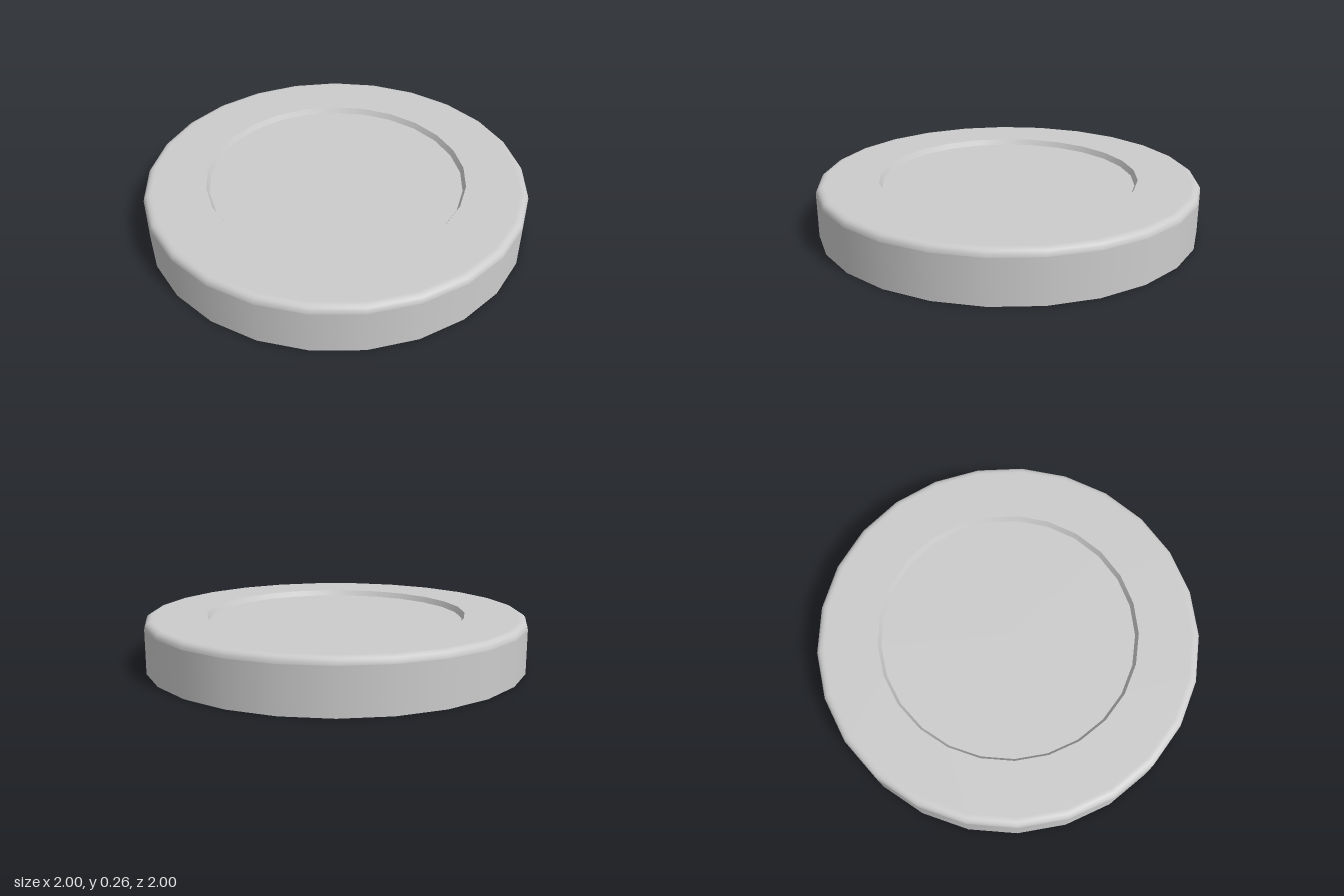
import * as THREE from 'three';

const SIDES = 25;
const RADIUS = 1.004, HEIGHT = 0.264, BEVEL = 0.035;
const RIM = 0.683, FLOOR = 0.668, DEPTH = 0.03;

export function createModel() {
  const group = new THREE.Group();
  group.name = 'roundLid';
  const material = new THREE.MeshStandardMaterial({ color: 0xcccccc, side: THREE.DoubleSide });

  // Turns a [radius, height] profile, with one corner pointing along +x
  const turn = (name, profile) => {
    const points = profile.map(([r, y]) => new THREE.Vector2(r, y));
    const mesh = new THREE.Mesh(new THREE.LatheGeometry(points, SIDES, Math.PI / 2), material);
    mesh.name = name;
    mesh.position.x = 0.004; // an odd number of sides is off centre
    group.add(mesh);
  };

  // Open-bottomed side wall, rounded shoulder and flat top ring
  const shell = [[RADIUS, 0], [RADIUS, HEIGHT - BEVEL - 0.002]];
  for (let i = 0; i <= 4; i++) {
    const a = (i / 4) * Math.PI / 2;
    shell.push([RADIUS - BEVEL * (1 - Math.cos(a)), HEIGHT - BEVEL * (1 - Math.sin(a))]);
  }
  shell.push([RADIUS - BEVEL - 0.01, HEIGHT], [RIM, HEIGHT]);
  turn('outerShell', shell);

  // Shallow recess with sharp edges
  turn('recessWall', [[RIM, HEIGHT], [FLOOR, HEIGHT - DEPTH]]);
  turn('recessFloor', [[FLOOR, HEIGHT - DEPTH], [0, HEIGHT - DEPTH]]);

  return group;
}
